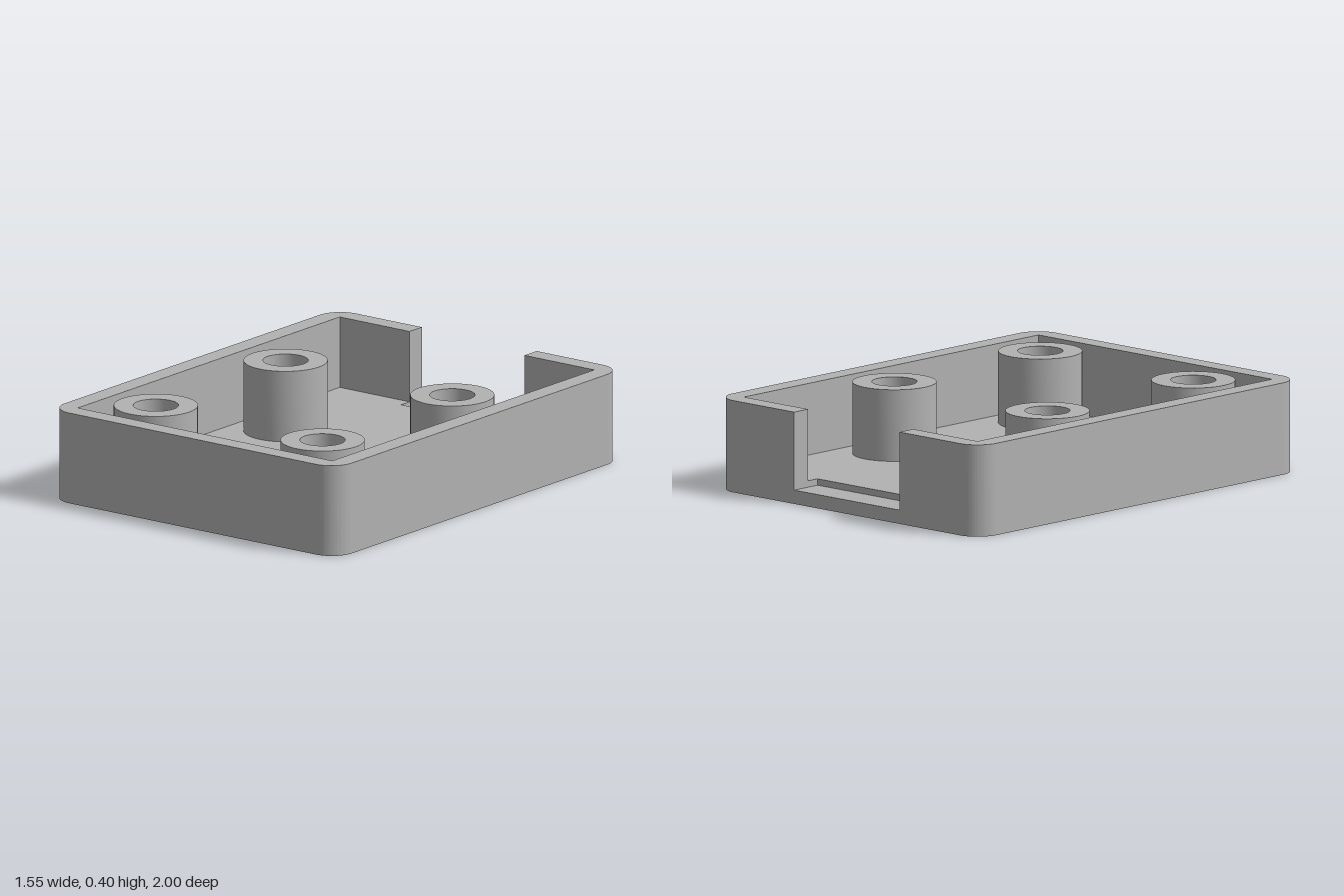
import * as THREE from 'three';
import { toCreasedNormals } from 'three/addons/utils/BufferGeometryUtils.js';

const W = 0.775, D = 1, R = 0.11;       // outer half width, half depth, corner radius
const IW = 0.687, ID = 0.914;           // inner half width, half depth
const NOTCH = 0.31, NOTCH_Z = 0.855;    // rear opening half width and reach
const SILL = 0.06, FLOOR = 0.088, TOP = 0.4;
const POST_R = 0.18, HOLE_R = 0.097;
const posts = [[-0.45, -0.23], [0.45, -0.23], [-0.45, 0.675], [0.45, 0.675]];
const slots = [0.312, 0.449, 0.586];    // z of each vent
const SLOT_W = 0.225, SLOT_D = 0.036;   // vent half sizes

// Plan shapes are drawn with shape y = -z, then stood up between two heights.
function slab(shape, y0, y1) {
  const g = new THREE.ExtrudeGeometry(shape, { depth: y1 - y0, bevelEnabled: false, curveSegments: 20 });
  g.rotateX(-Math.PI / 2);
  g.translate(0, y0, 0);
  return toCreasedNormals(g, Math.PI / 6);
}

const polygon = (pts, Type = THREE.Shape) => new Type(pts.map(([x, y]) => new THREE.Vector2(x, y)));

function circle(x, y, r, Type) {
  const p = new Type();
  p.absarc(x, y, r, 0, Math.PI * 2, false);
  return p;
}

// Screw holes and vents pierce every floor layer
function pierce(shape) {
  for (const [x, z] of posts) shape.holes.push(circle(x, -z, HOLE_R, THREE.Path));
  for (const z of slots) {
    shape.holes.push(polygon([
      [-SLOT_W, -z - SLOT_D], [SLOT_W, -z - SLOT_D], [SLOT_W, -z + SLOT_D], [-SLOT_W, -z + SLOT_D],
    ], THREE.Path));
  }
  return shape;
}

// Rounded outer outline, anticlockwise from the right of the rear opening
function traceOuter(s) {
  s.moveTo(-NOTCH, D);
  s.lineTo(-W + R, D);
  s.absarc(-W + R, D - R, R, Math.PI / 2, Math.PI, false);
  s.lineTo(-W, -D + R);
  s.absarc(-W + R, -D + R, R, Math.PI, Math.PI * 1.5, false);
  s.lineTo(W - R, -D);
  s.absarc(W - R, -D + R, R, -Math.PI / 2, 0, false);
  s.lineTo(W, D - R);
  s.absarc(W - R, D - R, R, 0, Math.PI / 2, false);
  s.lineTo(NOTCH, D);
  return s;
}

export function createModel() {
  const model = new THREE.Group();
  model.name = 'enclosureBase';
  const grey = new THREE.MeshStandardMaterial({ color: 0xb2b2b2 });
  grey.name = 'grey plastic';
  const add = (name, geometry) => {
    const mesh = new THREE.Mesh(geometry, grey);
    mesh.name = name;
    model.add(mesh);
  };

  // Bottom plate, whose top shows as the sill of the rear opening
  const plate = traceOuter(new THREE.Shape());
  plate.closePath();
  add('bottomPlate', slab(pierce(plate), 0, SILL));

  // Inner floor, recessed at the rear opening
  const floor = polygon([
    [-IW, -ID], [IW, -ID], [IW, ID], [NOTCH, ID], [NOTCH, NOTCH_Z],
    [-NOTCH, NOTCH_Z], [-NOTCH, ID], [-IW, ID],
  ]);
  add('innerFloor', slab(pierce(floor), SILL, FLOOR));

  // Side walls, open at the rear
  const wall = traceOuter(new THREE.Shape());
  for (const [x, y] of [[NOTCH, ID], [IW, ID], [IW, -ID], [-IW, -ID], [-IW, ID], [-NOTCH, ID]]) wall.lineTo(x, y);
  wall.closePath();
  add('walls', slab(wall, SILL, TOP));

  // Hollow screw posts
  posts.forEach(([x, z], i) => {
    const ring = circle(x, -z, POST_R, THREE.Shape);
    ring.holes.push(circle(x, -z, HOLE_R, THREE.Path));
    add(`screwPost${i + 1}`, slab(ring, FLOOR, TOP));
  });

  return model;
}
